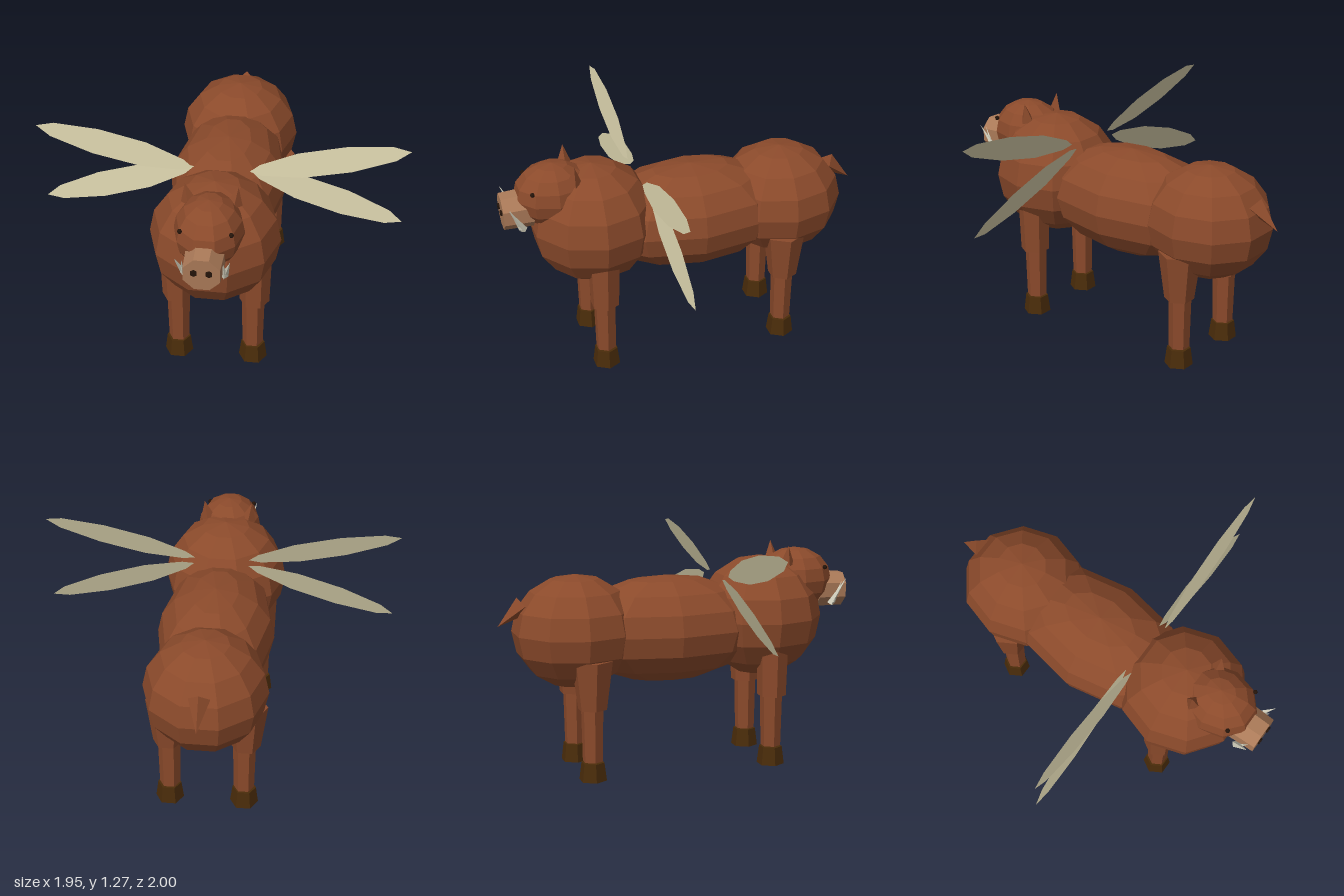
import * as THREE from 'three';

export function createModel() {
  const root = new THREE.Group();
  const mat = (name, color) => {
    const m = new THREE.MeshStandardMaterial({ color, flatShading: true });
    m.name = name;
    return m;
  };
  const hide = mat('brown hide', 0x8b4a2b);
  const snoutSkin = mat('snout skin', 0xab7a58);
  const hoofHorn = mat('dark hoof', 0x4a2c0a);
  const ivory = mat('ivory', 0xd6d3c0);
  const dark = mat('eye and nostril', 0x24140a);
  const membrane = mat('wing membrane', 0xd2caa6);
  membrane.side = THREE.DoubleSide;

  const add = (name, geometry, material, x = 0, y = 0, z = 0) => {
    const mesh = new THREE.Mesh(geometry, material);
    mesh.name = name;
    mesh.position.set(x, y, z);
    root.add(mesh);
    return mesh;
  };
  // Faceted ellipsoid
  const blob = (name, material, pos, radii, w = 10, h = 8) =>
    add(name, new THREE.SphereGeometry(1, w, h).scale(...radii), material, ...pos);
  // Pyramid running from the centre of its base to its tip
  const spike = (name, material, base, tip, radius, sides = 4) => {
    const a = new THREE.Vector3(...base), b = new THREE.Vector3(...tip);
    const dir = b.clone().sub(a);
    const geo = new THREE.ConeGeometry(radius, dir.length(), sides).translate(0, dir.length() / 2, 0);
    const mesh = add(name, geo, material, ...base);
    mesh.quaternion.setFromUnitVectors(new THREE.Vector3(0, 1, 0), dir.normalize());
    return mesh;
  };
  // Six-sided leg segment with corners facing sideways
  const segment = (name, material, x, z, y0, y1, r0, r1) =>
    add(name, new THREE.CylinderGeometry(r1, r0, y1 - y0, 6).rotateY(Math.PI / 2),
      material, x, (y0 + y1) / 2, z);

  // Body
  blob('chest', hide, [0, 0.815, 0.49], [0.345, 0.34, 0.35]);
  blob('belly', hide, [0, 0.772, -0.06], [0.32, 0.295, 0.56]);
  blob('rump', hide, [0, 0.785, -0.575], [0.33, 0.31, 0.35]);
  spike('tail', hide, [0, 0.94, -0.86], [0, 0.83, -1], 0.056);

  // Head
  blob('head', hide, [0, 1.01, 0.7], [0.18, 0.18, 0.215]);
  const snout = add('snout', new THREE.CylinderGeometry(0.1, 0.106, 0.16, 8)
    .rotateY(Math.PI / 8).rotateX(Math.PI / 2), snoutSkin, 0, 0.945, 0.905);
  snout.rotation.x = 0.04;

  // Wing outline, root at the origin, tip along +x
  const edge = [[0.06, 0.03], [0.27, 0.067], [0.53, 0.069], [0.765, 0.038]];
  const outline = [[0, 0], ...edge.map(([u, v]) => [u, -v]), [0.85, 0], ...edge.slice().reverse()];
  const leaf = new THREE.ShapeGeometry(new THREE.Shape(outline.map(([u, v]) => new THREE.Vector2(u, v))));

  for (const s of [1, -1]) {
    const side = s > 0 ? 'left' : 'right';

    // Face details
    blob(side + 'Eye', dark, [s * 0.128, 1.085, 0.835], [0.013, 0.013, 0.013], 6, 4);
    const nostril = add(side + 'Nostril', new THREE.CylinderGeometry(0.018, 0.018, 0.02, 6)
      .rotateX(Math.PI / 2), dark, s * 0.038, 0.955, 0.985);
    nostril.rotation.x = 0.04;
    spike(side + 'Ear', hide, [s * 0.115, 1.11, 0.61], [s * 0.135, 1.215, 0.61], 0.042);
    spike(side + 'OuterTusk', ivory, [s * 0.1, 0.87, 0.885], [s * 0.138, 1.02, 0.965], 0.02);
    spike(side + 'InnerTusk', ivory, [s * 0.105, 0.88, 0.9], [s * 0.102, 1.0, 0.955], 0.014);

    // Legs
    for (const [end, z, top] of [['Front', 0.49, 0.088], ['Back', -0.54, 0.115]]) {
      const leg = side + end;
      segment(leg + 'UpperLeg', hide, s * 0.21, z, 0.395, 0.66, 0.08, top);
      segment(leg + 'LowerLeg', hide, s * 0.203, z, 0.105, 0.41, 0.056, 0.062);
      segment(leg + 'Hoof', hoofHorn, s * 0.205, z, 0, 0.1, 0.077, 0.064);
    }

    // Two wings, each with its upper edge leaning back
    for (const [name, y, z, angle] of [['UpperWing', 1.06, 0.25, 0.232], ['LowerWing', 1.045, 0.215, -0.31]]) {
      const pivot = new THREE.Group();
      pivot.name = side + name;
      pivot.position.set(s * 0.15, y, z);
      pivot.scale.x = s;
      const wing = new THREE.Mesh(leaf, membrane);
      wing.name = side + name + 'Membrane';
      wing.rotation.set(-0.27, 0, angle, 'ZYX');
      pivot.add(wing);
      root.add(pivot);
    }
  }
  return root;
}
